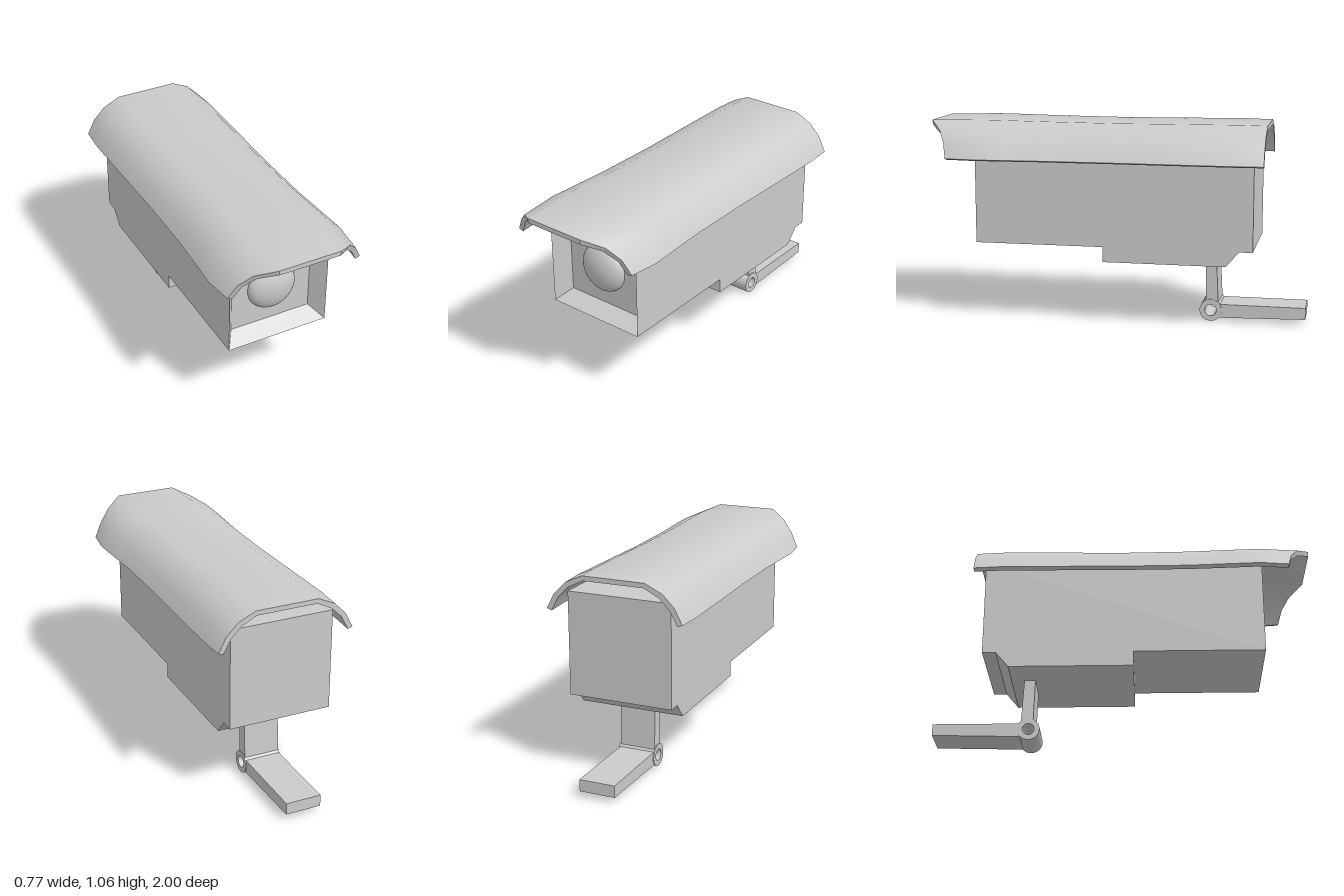
import * as THREE from 'three';
import { toCreasedNormals } from 'three/addons/utils/BufferGeometryUtils.js';

const material = new THREE.MeshStandardMaterial({ color: 0xcccccc });

function part(name, geometry) {
  const mesh = new THREE.Mesh(geometry, material);
  mesh.name = name;
  return mesh;
}

// Skin over rings of [x, y, z], counterclockwise seen from +z, ordered back to front.
// End caps join point i to its opposite, n - 1 - i.
function loft(rings) {
  const n = rings[0].length;
  const index = [];
  const quad = (a, b, c, d) => index.push(a, b, c, a, c, d);
  for (let k = 0; k < rings.length - 1; k++) {
    for (let i = 0; i < n; i++) {
      const j = (i + 1) % n;
      quad(k * n + i, k * n + j, (k + 1) * n + j, (k + 1) * n + i);
    }
  }
  const last = (rings.length - 1) * n;
  for (let i = 0; i < n / 2 - 1; i++) {
    quad(n - 1 - i, n - 2 - i, i + 1, i);
    quad(last + i, last + i + 1, last + n - 2 - i, last + n - 1 - i);
  }
  const geometry = new THREE.BufferGeometry();
  geometry.setAttribute('position', new THREE.Float32BufferAttribute(rings.flat(2), 3));
  geometry.setIndex(index);
  return toCreasedNormals(geometry, 0.6);
}

// Side outline drawn as (-z, y), extruded across x.
function sideExtrude(shape, x0, x1) {
  return new THREE.ExtrudeGeometry(shape, { depth: x1 - x0, bevelEnabled: false, curveSegments: 24 })
    .rotateY(Math.PI / 2)
    .translate(x0, 0, 0);
}

const outline = (points) => new THREE.Shape(points.map(([z, y]) => new THREE.Vector2(-z, y)));

function rectangle(x0, x1, y0, y1, z) {
  return [[x0, y0, z], [x1, y0, z], [x1, y1, z], [x0, y1, z]];
}

function sunShield() {
  // Half profile from the lower edge to the flat top: x, y, front edge z
  const outer = [[0.375, 0.872, 0.87], [0.332, 0.948, 0.89], [0.268, 1.01, 0.93], [0.173, 1.053, 1]];
  const inner = [[0.348, 0.863, 0.87], [0.308, 0.932, 0.89], [0.25, 0.987, 0.93], [0.168, 1.028, 1]];
  const flip = (points) => points.map(([x, y, z]) => [-x, y, z]);
  const profile = [...outer, ...flip(outer).reverse(), ...flip(inner), ...inner.slice().reverse()];
  // Stations along the length: z, width scale, lift of the upper part
  const stations = [
    [-0.79, 0.965, 0.004], [-0.65, 0.99, 0.006], [-0.3, 0.98, 0.003], [0, 0.967, 0],
    [0.35, 0.972, 0.002], [0.58, 1.005, 0.005], [0.72, 1.025, 0.006],
  ];
  const rings = stations.map(([z, s, lift]) =>
    profile.map(([x, y]) => [x * s, y + lift * (y > 0.9 ? 1 : 0), z]));
  rings.push(profile.map(([x, y, z]) => [x * 0.975, y, z]));
  return part('sunShield', loft(rings));
}

export function createModel() {
  const model = new THREE.Group();
  model.name = 'securityCamera';

  // Housing with a sloping recess in its front
  model.add(part('housing', loft([
    rectangle(-0.28, 0.274, 0.416, 0.955, -0.735),
    rectangle(-0.28, 0.274, 0.416, 0.955, 0.735),
    rectangle(-0.225, 0.219, 0.47, 0.901, 0.652),
  ])));

  // Domed lens on the recessed face
  const lens = part('lens', new THREE.SphereGeometry(0.132, 40, 28));
  lens.scale.z = 0.5;
  lens.position.set(-0.003, 0.678, 0.652);
  model.add(lens);

  model.add(sunShield());

  // Block under the housing, sloped at the back
  const block = outline([[0.05, 0.417], [0.05, 0.336], [-0.597, 0.336], [-0.665, 0.417]]);
  model.add(part('mountBlock', sideExtrude(block, -0.28, 0.274)));

  // Hinged bracket
  const bracket = new THREE.Group();
  bracket.name = 'bracket';
  const upright = outline([[-0.47, 0.34], [-0.476, 0.1], [-0.54, 0.1], [-0.528, 0.34]]);
  bracket.add(part('uprightArm', sideExtrude(upright, -0.098, 0.094)));
  const wallArm = outline([[-0.54, 0.092], [-0.535, 0.019], [-1, 0.03], [-1, 0.092]]);
  bracket.add(part('wallArm', sideExtrude(wallArm, -0.098, 0.092)));

  const barrel = new THREE.Shape().absarc(0.5, 0.06, 0.059, 0, Math.PI * 2, false);
  barrel.holes.push(new THREE.Path().absarc(0.5, 0.06, 0.031, 0, Math.PI * 2, true));
  bracket.add(part('hingeBarrel', toCreasedNormals(sideExtrude(barrel, -0.102, 0.098), 0.6)));
  model.add(bracket);

  return model;
}
